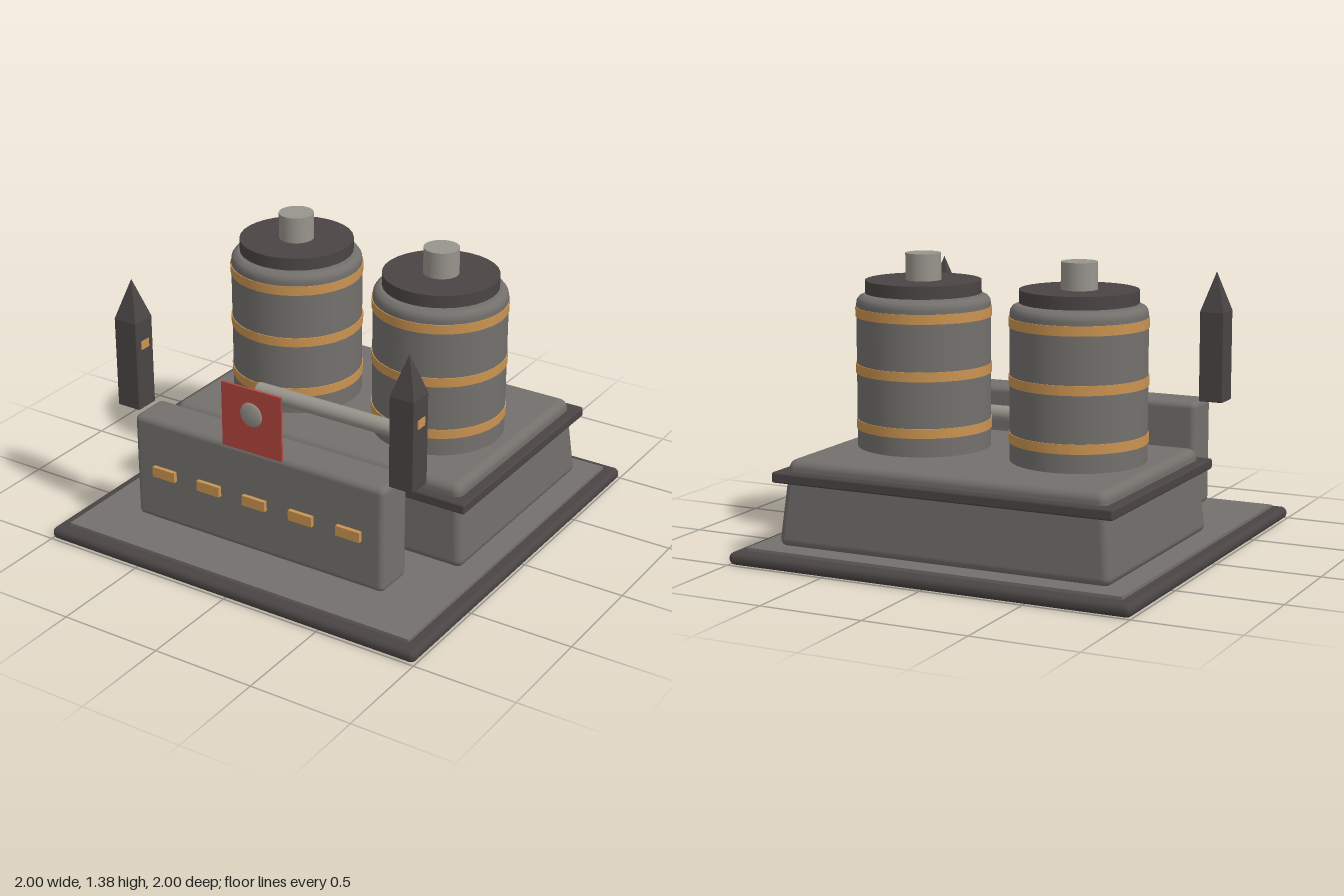
import * as THREE from 'three';
import { RoundedBoxGeometry } from 'three/addons/geometries/RoundedBoxGeometry.js';

export function createModel() {
  const model = new THREE.Group();
  const material = (name, color) => {
    const m = new THREE.MeshStandardMaterial({ color });
    m.name = name;
    return m;
  };
  const stone = material('stone grey', 0x73706c);
  const dark = material('dark grey', 0x4a4544);
  const orange = material('amber', 0xca9350);
  const red = material('banner red', 0xb2453d);
  const light = material('light grey', 0x98948d);

  const add = (name, geometry, mat, x, y, z, parent = model) => {
    const mesh = new THREE.Mesh(geometry, mat);
    mesh.name = name;
    mesh.position.set(x, y, z);
    parent.add(mesh);
    return mesh;
  };
  const box = (w, h, d) => new THREE.BoxGeometry(w, h, d);
  const cylinder = (r, h) => new THREE.CylinderGeometry(r, r, h, 32);

  // Ground plate
  add('basePlate', new RoundedBoxGeometry(2, 0.06, 2, 3, 0.028), dark, 0, 0.03, 0);
  add('courtyard', box(1.87, 0.02, 1.87), stone, 0, 0.065, 0);

  // Podium, tapering towards the top, with a dark ledge
  const podium = new RoundedBoxGeometry(1.67, 0.405, 1.15, 3, 0.04);
  const p = podium.attributes.position;
  for (let i = 0; i < p.count; i++) {
    const inset = 0.04 * (p.getY(i) / 0.405 + 0.5);
    p.setX(i, p.getX(i) - Math.sign(p.getX(i)) * inset);
    p.setZ(i, p.getZ(i) - Math.sign(p.getZ(i)) * inset);
  }
  add('podium', podium, stone, 0, 0.2725, -0.263);
  add('podiumLedge', new RoundedBoxGeometry(1.7, 0.05, 1.175, 2, 0.01), dark, 0, 0.395, -0.263);

  // Twin banded tanks with lids and chimneys
  const profile = [[0, 0.46], [0.315, 0.46], [0.315, 0.46], [0.315, 1.15], [0.312, 1.168],
    [0.302, 1.182], [0.285, 1.19], [0.285, 1.19], [0, 1.19]].map(([r, y]) => new THREE.Vector2(r, y));
  for (const x of [-0.4, 0.4]) {
    const tank = new THREE.Group();
    tank.name = x > 0 ? 'leftTank' : 'rightTank';
    tank.position.set(x, 0, -0.21);
    model.add(tank);
    add('tankBody', new THREE.LatheGeometry(profile, 48), stone, 0, 0, 0, tank);
    for (const y of [0.585, 0.848, 1.113]) add('tankBand', cylinder(0.32, 0.045), orange, 0, y, 0, tank);
    add('tankLid', cylinder(0.273, 0.06), dark, 0, 1.229, 0, tank);
    add('chimney', cylinder(0.084, 0.13), light, 0, 1.32, 0, tank);
  }

  // Pipe linking the tanks
  add('pipe', cylinder(0.04, 0.8), light, 0, 0.583, 0.125).rotation.z = Math.PI / 2;

  // Gatehouse with a row of windows
  add('gatehouse', new RoundedBoxGeometry(1.36, 0.525, 0.205, 3, 0.03), stone, 0, 0.3725, 0.632);
  for (let i = -2; i <= 2; i++) add('gateWindow', box(0.125, 0.05, 0.02), orange, i * 0.253, 0.375, 0.745);

  // Banner with a domed emblem
  add('banner', box(0.32, 0.315, 0.012), red, 0, 0.7925, 0.748);
  add('bannerDisc', new THREE.SphereGeometry(0.06, 24, 16), light, 0, 0.825, 0.752).scale.z = 0.22;

  // Corner towers with pyramid spires
  const spire = new THREE.ConeGeometry(0.06 * Math.SQRT2, 0.19, 4, 1);
  spire.rotateY(Math.PI / 4);
  const flatSpire = spire.toNonIndexed();
  flatSpire.computeVertexNormals();
  for (const x of [-0.74, 0.74]) {
    const tower = new THREE.Group();
    tower.name = x > 0 ? 'leftTower' : 'rightTower';
    tower.position.set(x, 0, 0.633);
    model.add(tower);
    add('towerShaft', new RoundedBoxGeometry(0.122, 0.44, 0.122, 1, 0.005), dark, 0, 0.857, 0, tower);
    add('spire', flatSpire, dark, 0, 1.17, 0, tower);
    add('towerWindow', box(0.009, 0.04, 0.055), orange, 0.0615, 0.955, 0, tower);
  }
  return model;
}
